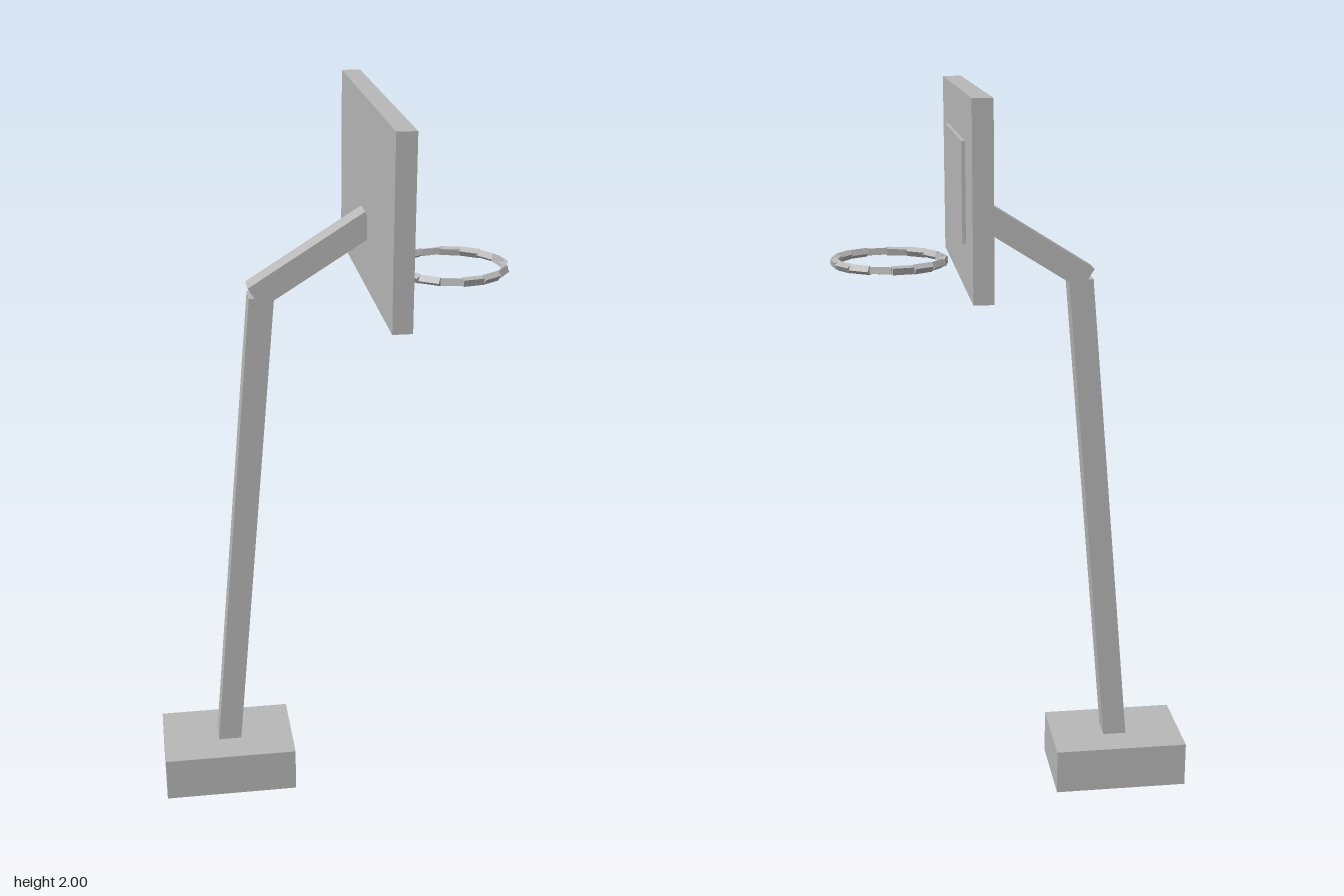
import * as THREE from 'three';

export function createModel() {
  const model = new THREE.Group();
  const grey = new THREE.MeshStandardMaterial({ color: 0xb8b8b8 });
  grey.name = 'plain grey';
  const up = new THREE.Vector3(0, 1, 0);

  const box = (name, size, position, parent = model) => {
    const mesh = new THREE.Mesh(new THREE.BoxGeometry(...size), grey);
    mesh.name = name;
    mesh.position.set(...position);
    parent.add(mesh);
    return mesh;
  };

  // Square bar running from point a to point b
  const bar = (name, a, b, width, parent = model) => {
    const dir = b.clone().sub(a);
    const middle = a.clone().add(b).multiplyScalar(0.5);
    const mesh = box(name, [width, dir.length(), width], middle.toArray(), parent);
    mesh.quaternion.setFromUnitVectors(up, dir.normalize());
    return mesh;
  };

  // Base block
  box('base', [0.38, 0.13, 0.25], [-0.3, 0.065, 0]);

  // Leaning pole and the arm that carries the board
  bar('pole', new THREE.Vector3(-0.297, 0.11, 0), new THREE.Vector3(-0.177, 1.494, 0), 0.066);
  bar('arm', new THREE.Vector3(-0.195, 1.496, 0), new THREE.Vector3(0.1125, 1.689, 0), 0.066);

  // Backboard with its raised target panel
  box('backboard', [0.051, 0.485, 0.826], [0.1255, 1.7575, 0]);
  box('targetPanel', [0.018, 0.25, 0.474], [0.151, 1.76, 0]);

  // Hoop made of sixteen straight bars
  const hoop = new THREE.Group();
  hoop.name = 'hoop';
  hoop.position.set(0.332, 1.553, 0);
  model.add(hoop);
  const sides = 16, radius = 0.145;
  const corner = (i) => {
    const t = (i / sides) * Math.PI * 2;
    return new THREE.Vector3(Math.cos(t) * radius, 0, Math.sin(t) * radius);
  };
  for (let i = 0; i < sides; i++) {
    bar('hoopSegment', corner(i), corner(i + 1), 0.018, hoop);
  }

  return model;
}
